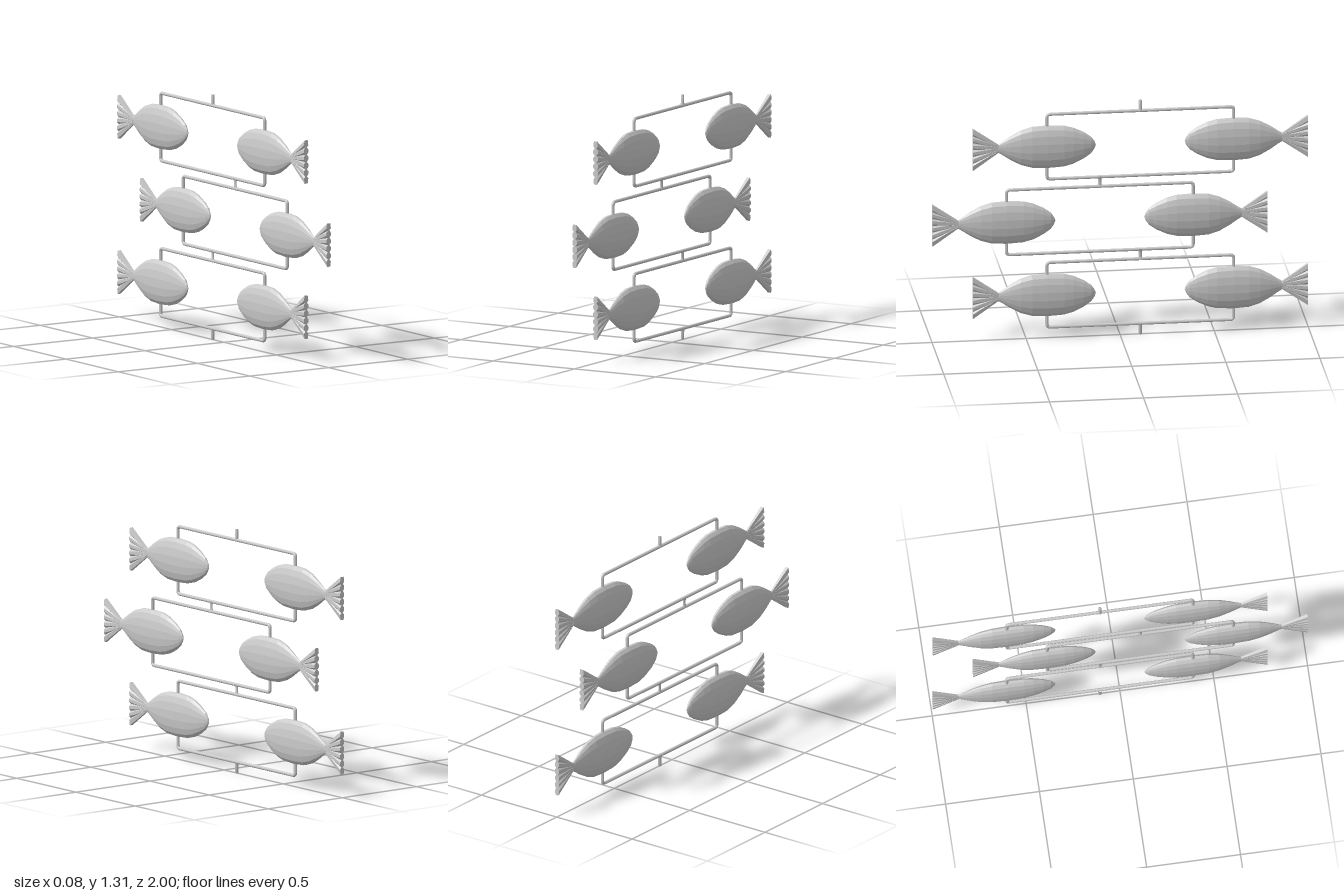
import * as THREE from 'three';

const grey = new THREE.MeshStandardMaterial({ color: 0xcccccc });
const faceted = new THREE.MeshStandardMaterial({ color: 0xcccccc, flatShading: true });

function mesh(name, geometry, material) {
  const m = new THREE.Mesh(geometry, material);
  m.name = name;
  return m;
}

// Skins rings of [x, y, z] points (anticlockwise seen from +z) and caps the last ring
function loft(rings) {
  const n = rings[0].length, index = [];
  for (let j = 0; j < rings.length - 1; j++) {
    for (let i = 0; i < n; i++) {
      const k = (i + 1) % n, a = j * n, b = a + n;
      index.push(a + i, a + k, b + k, a + i, b + k, b + i);
    }
  }
  const e = (rings.length - 1) * n;
  for (let i = 0; i < n / 2 - 1; i++) {
    const l = n - 1 - i;
    index.push(e + i, e + i + 1, e + l - 1, e + i, e + l - 1, e + l);
  }
  const g = new THREE.BufferGeometry();
  g.setAttribute('position', new THREE.Float32BufferAttribute(rings.flat(2), 3));
  g.setIndex(index);
  g.computeVertexNormals();
  return g;
}

// Body: flattened ovals along z, nose at -z
function bodyGeometry() {
  const profile = [
    [-0.26, 0], [-0.253, 0.02], [-0.235, 0.045], [-0.195, 0.073], [-0.14, 0.099], [-0.09, 0.112],
    [0, 0.117], [0.08, 0.112], [0.14, 0.094], [0.195, 0.064], [0.235, 0.037], [0.262, 0.021],
  ];
  const sides = 16;
  return loft(profile.map(([z, h]) => Array.from({ length: sides }, (_, i) => {
    const a = ((i + 0.5) / sides) * Math.PI * 2 - Math.PI / 2;
    const fit = 1 / Math.cos(Math.PI / sides);
    return [Math.cos(a) * h * 0.325 * fit, Math.sin(a) * h * fit, z];
  })));
}

// Tail: fan-shaped slab with five V grooves that widen towards the rim
function tailGeometry() {
  const rings = [0, 0.3, 0.65, 1].map((s) => {
    const h = THREE.MathUtils.lerp(0.02, 0.116, s);
    const t = THREE.MathUtils.lerp(0.007, 0.014, s);
    const open = Math.max(0.02, (s - 0.15) / 0.85);
    const side = [[t * 0.7, -h]];
    for (let k = 1; k <= 5; k++) {
      const c = -1 + k / 3, w = 0.1 * open;
      side.push([t, (c - w) * h], [t * (1 - 0.65 * open), c * h], [t, (c + w) * h]);
    }
    side.push([t * 0.7, h]);
    const z = 0.255 + 0.14 * s;
    return [
      ...side.map(([x, y]) => [x, y, z]),
      ...side.slice().reverse().map(([x, y]) => [-x, y, z]),
    ];
  });
  return loft(rings);
}

// Rail: a bracket-shaped rod from one fish up, across and down to the other
function railGeometry(half, low, high) {
  const r = 0.018, v = (y, z) => new THREE.Vector3(0, y, z);
  const path = new THREE.CurvePath();
  path.add(new THREE.LineCurve3(v(low, -half), v(high - r, -half)));
  path.add(new THREE.QuadraticBezierCurve3(v(high - r, -half), v(high, -half), v(high, -half + r)));
  path.add(new THREE.LineCurve3(v(high, -half + r), v(high, half - r)));
  path.add(new THREE.QuadraticBezierCurve3(v(high, half - r), v(high, half), v(high - r, half)));
  path.add(new THREE.LineCurve3(v(high - r, half), v(low, half)));
  return new THREE.TubeGeometry(path, 200, 0.009, 8, false);
}

// Round rod turned from [radius, y] points
const turned = (points) => new THREE.LatheGeometry(points.map(([r, y]) => new THREE.Vector2(r, y)), 10);

export function createModel() {
  const model = new THREE.Group();
  model.name = 'fishChain';
  const half = 0.496, railY = 0.181;
  const body = bodyGeometry(), tail = tailGeometry(), rail = railGeometry(half, 0.1, railY);
  const rows = [[1.07, -0.107], [0.655, 0.108], [0.24, -0.107]];

  rows.forEach(([y, z], i) => {
    const row = new THREE.Group();
    row.name = `row${i + 1}`;
    row.position.set(0, y, z);
    // Two fish, nose to nose
    for (const s of [1, -1]) {
      const fish = new THREE.Group();
      fish.name = s > 0 ? 'frontFish' : 'backFish';
      fish.position.z = s * half;
      fish.rotation.y = s > 0 ? 0 : Math.PI;
      fish.add(mesh('body', body, faceted), mesh('tail', tail, faceted));
      row.add(fish);
    }
    // Rails above and below
    const upper = mesh('upperRail', rail, grey);
    const lower = mesh('lowerRail', rail, grey);
    lower.rotation.z = Math.PI;
    row.add(upper, lower);
    model.add(row);
  });

  // Flared links between the rows
  const link = turned([[0.016, -0.03], [0.012, -0.02], [0.009, -0.012], [0.009, 0.012], [0.012, 0.02], [0.016, 0.03]]);
  [[0.8625, 0.108], [0.4475, -0.107]].forEach(([y, z], i) => {
    const m = mesh(`link${i + 1}`, link, grey);
    m.scale.x = 0.65;
    m.position.set(0, y, z);
    model.add(m);
  });

  // End stubs
  const stub = turned([[0.013, 0], [0.009, 0.015], [0.009, 0.057], [0, 0.057]]);
  const top = mesh('topStub', stub, grey);
  top.position.set(0, 1.07 + railY, -0.107);
  const bottom = mesh('bottomStub', stub, grey);
  bottom.position.set(0, 0.057, -0.107);
  bottom.rotation.z = Math.PI;
  model.add(top, bottom);
  return model;
}
